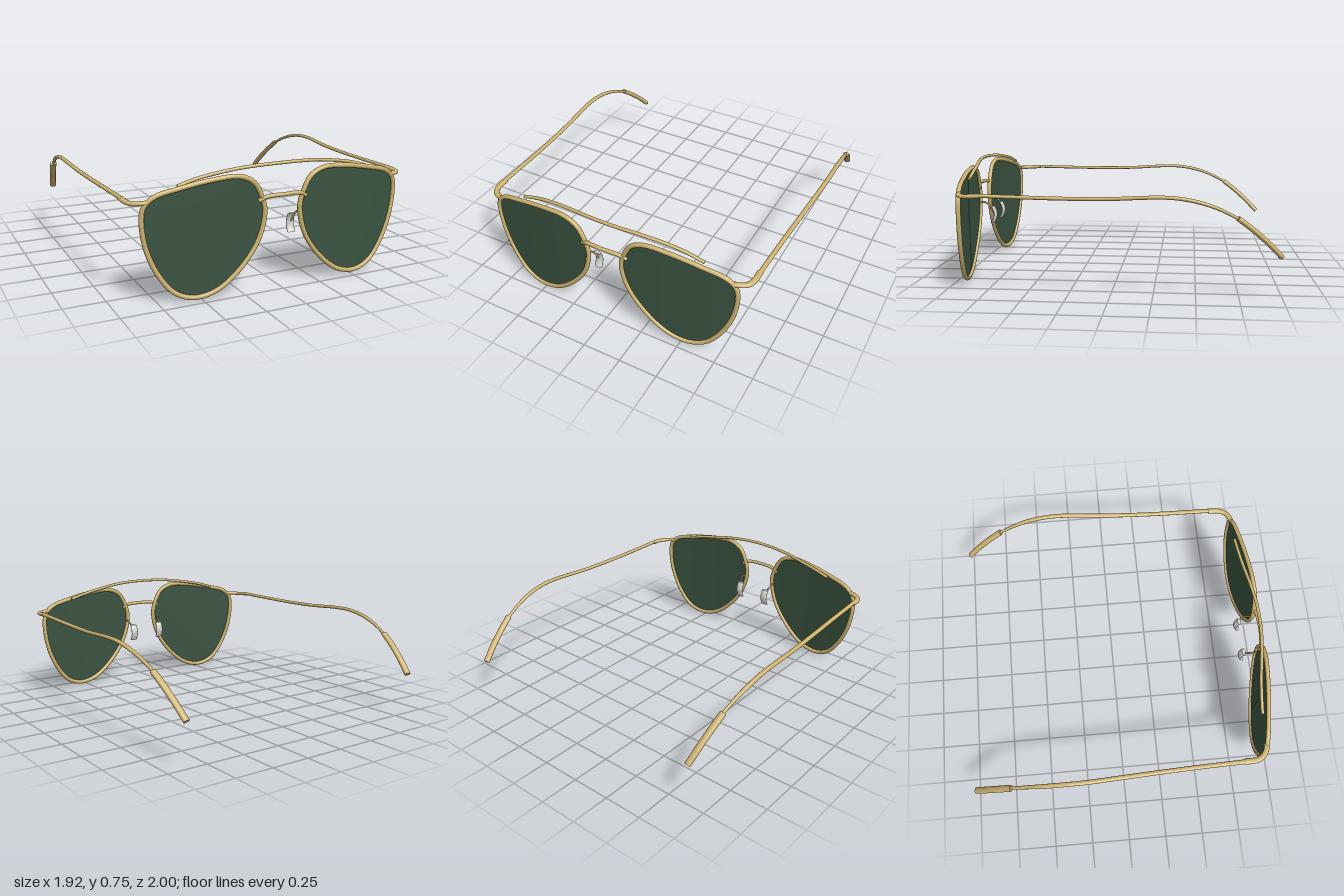
import * as THREE from 'three';

const V = (x, y, z) => new THREE.Vector3(x, y, z);
const gold = new THREE.MeshStandardMaterial({ color: 0xccb26f });
gold.name = 'gold metal';
const green = new THREE.MeshStandardMaterial({ color: 0x3a5340, side: THREE.DoubleSide });
green.name = 'green tinted lens';
const clear = new THREE.MeshStandardMaterial({ color: 0xd6d6d0 });
clear.name = 'pale silicone';

// Outline of one lens, as x and y
const OUTLINE = [
  [0.115, 0.48], [0.14, 0.575], [0.188, 0.655], [0.275, 0.694], [0.42, 0.69],
  [0.625, 0.655], [0.765, 0.617], [0.82, 0.567], [0.834, 0.49], [0.81, 0.32],
  [0.74, 0.16], [0.65, 0.054], [0.54, 0.016], [0.41, 0.043], [0.27, 0.15], [0.155, 0.31],
];
// Wrap of the front, shared by rims and lenses
const wrap = (x) => 0.968 - 0.1 * x * x;

function addMesh(parent, name, geometry, material) {
  const mesh = new THREE.Mesh(geometry, material);
  mesh.name = name;
  parent.add(mesh);
  return mesh;
}

// Capped rod of elliptical section; size(t) gives [half width, half height]
function rod(points, size, steps = 40, sides = 14) {
  const curve = new THREE.CatmullRomCurve3(points.map((p) => V(...p)));
  const pos = [], idx = [];
  const ring = (t) => {
    const c = curve.getPointAt(t), T = curve.getTangentAt(t);
    const S = V(0, 1, 0).cross(T).normalize(), U = T.clone().cross(S);
    const [w, h] = size(t), start = pos.length / 3;
    for (let j = 0; j < sides; j++) {
      const a = (j / sides) * Math.PI * 2;
      const p = c.clone().addScaledVector(S, w * Math.cos(a)).addScaledVector(U, h * Math.sin(a));
      pos.push(p.x, p.y, p.z);
    }
    return start;
  };
  for (let i = 0; i <= steps; i++) {
    const b = ring(i / steps);
    if (i === 0) continue;
    for (let j = 0; j < sides; j++) {
      const k = (j + 1) % sides, a = b - sides;
      idx.push(a + j, a + k, b + j, a + k, b + k, b + j);
    }
  }
  // End caps
  for (const t of [0, 1]) {
    const b = ring(t), c = curve.getPointAt(t), m = pos.length / 3;
    pos.push(c.x, c.y, c.z);
    for (let j = 0; j < sides; j++) {
      const k = (j + 1) % sides;
      if (t) idx.push(m, b + j, b + k);
      else idx.push(m, b + k, b + j);
    }
  }
  return surface(pos, idx);
}

function surface(pos, idx) {
  const g = new THREE.BufferGeometry();
  g.setAttribute('position', new THREE.Float32BufferAttribute(pos, 3));
  g.setIndex(idx);
  g.computeVertexNormals();
  return g;
}

// Curved lens sheet made of rings shrinking towards the middle
function lensGeometry(curve, s) {
  const n = 96, rings = 8, cx = 0.47 * s, cy = 0.4, pos = [], idx = [];
  const edge = curve.getSpacedPoints(n);
  for (let r = 0; r <= rings; r++) {
    for (let j = 0; j < n; j++) {
      const f = r / rings;
      const x = cx + (edge[j].x - cx) * f, y = cy + (edge[j].y - cy) * f;
      pos.push(x, y, wrap(x));
      if (r === 0) continue;
      const k = (j + 1) % n, a = (r - 1) * n, b = r * n;
      const quad = [a + j, a + k, b + j, a + k, b + k, b + j];
      idx.push(...(s > 0 ? quad : quad.reverse()));
    }
  }
  return surface(pos, idx);
}

// Nose pad: flattened disc column bowed backwards
function padGeometry() {
  const g = new THREE.CylinderGeometry(1, 1, 0.115, 18, 8);
  g.scale(0.026, 1, 0.012);
  const p = g.attributes.position;
  for (let i = 0; i < p.count; i++) {
    const u = p.getY(i) / 0.0575;
    p.setZ(i, p.getZ(i) - 0.02 * (1 - u * u));
  }
  g.computeVertexNormals();
  return g;
}

function buildSide(s) {
  const side = new THREE.Group();
  side.name = s > 0 ? 'leftSide' : 'rightSide';
  const flip = (pts) => pts.map(([x, y, z]) => [x * s, y, z]);
  const round = (r) => () => [r, r];

  // Rim and lens
  const curve = new THREE.CatmullRomCurve3(
    OUTLINE.map(([x, y]) => V(x * s, y, wrap(x))), true);
  addMesh(side, 'rim', new THREE.TubeGeometry(curve, 120, 0.0145, 12, true), gold);
  addMesh(side, 'lens', lensGeometry(curve, s), green);

  // Corner piece joining rim and temple
  addMesh(side, 'endPiece', rod(flip([
    [0.8, 0.59, 0.902], [0.835, 0.588, 0.893], [0.875, 0.585, 0.865],
    [0.894, 0.587, 0.82], [0.897, 0.59, 0.75],
  ]), (t) => [0.017 + 0.003 * t, 0.013], 24), gold);

  // Temple arm, narrowing just before the tip
  addMesh(side, 'temple', rod(flip([
    [0.898, 0.592, 0.77], [0.905, 0.587, 0.5], [0.915, 0.584, 0.25], [0.928, 0.587, 0],
    [0.943, 0.6, -0.25], [0.944, 0.598, -0.38], [0.939, 0.573, -0.52],
    [0.927, 0.53, -0.64], [0.914, 0.478, -0.74],
  ]), (t) => {
    const taper = THREE.MathUtils.smoothstep(t, 0.82, 1);
    return [0.015 - 0.005 * taper, 0.011 - 0.002 * taper];
  }, 70), gold);

  // Thicker ear tip
  addMesh(side, 'templeTip', rod(flip([
    [0.917, 0.485, -0.73], [0.904, 0.42, -0.815], [0.888, 0.34, -0.905], [0.871, 0.258, -0.985],
  ]), () => [0.022, 0.016], 20), gold);

  // Nose pad on its thin wire
  addMesh(side, 'padWire', rod(flip([
    [0.128, 0.44, 0.962], [0.135, 0.445, 0.935], [0.128, 0.425, 0.905], [0.114, 0.365, 0.876],
  ]), round(0.006), 20, 8), gold);
  const pad = addMesh(side, 'nosePad', padGeometry(), clear);
  pad.position.set(0.112 * s, 0.358, 0.886);
  return side;
}

export function createModel() {
  const model = new THREE.Group();
  model.name = 'sunglasses';
  for (const s of [1, -1]) model.add(buildSide(s));

  // Long brow bar sweeping over both lenses
  const brow = [[0.62, 0.66, 0.89], [0.5, 0.693, 0.896], [0.38, 0.715, 0.909],
    [0.25, 0.734, 0.929], [0.12, 0.743, 0.945]];
  const mirror = (half, mid) => [
    ...half.map(([x, y, z]) => [-x, y, z]), mid, ...half.slice().reverse()];
  addMesh(model, 'browBar', rod(mirror(brow, [0, 0.745, 0.95]), () => [0.011, 0.01], 64), gold);

  // Short bridge between the rims
  const bridge = [[0.155, 0.54, 0.965], [0.125, 0.558, 0.973], [0.08, 0.567, 0.981]];
  addMesh(model, 'bridge', rod(mirror(bridge, [0, 0.568, 0.986]), () => [0.013, 0.012], 40), gold);
  return model;
}
